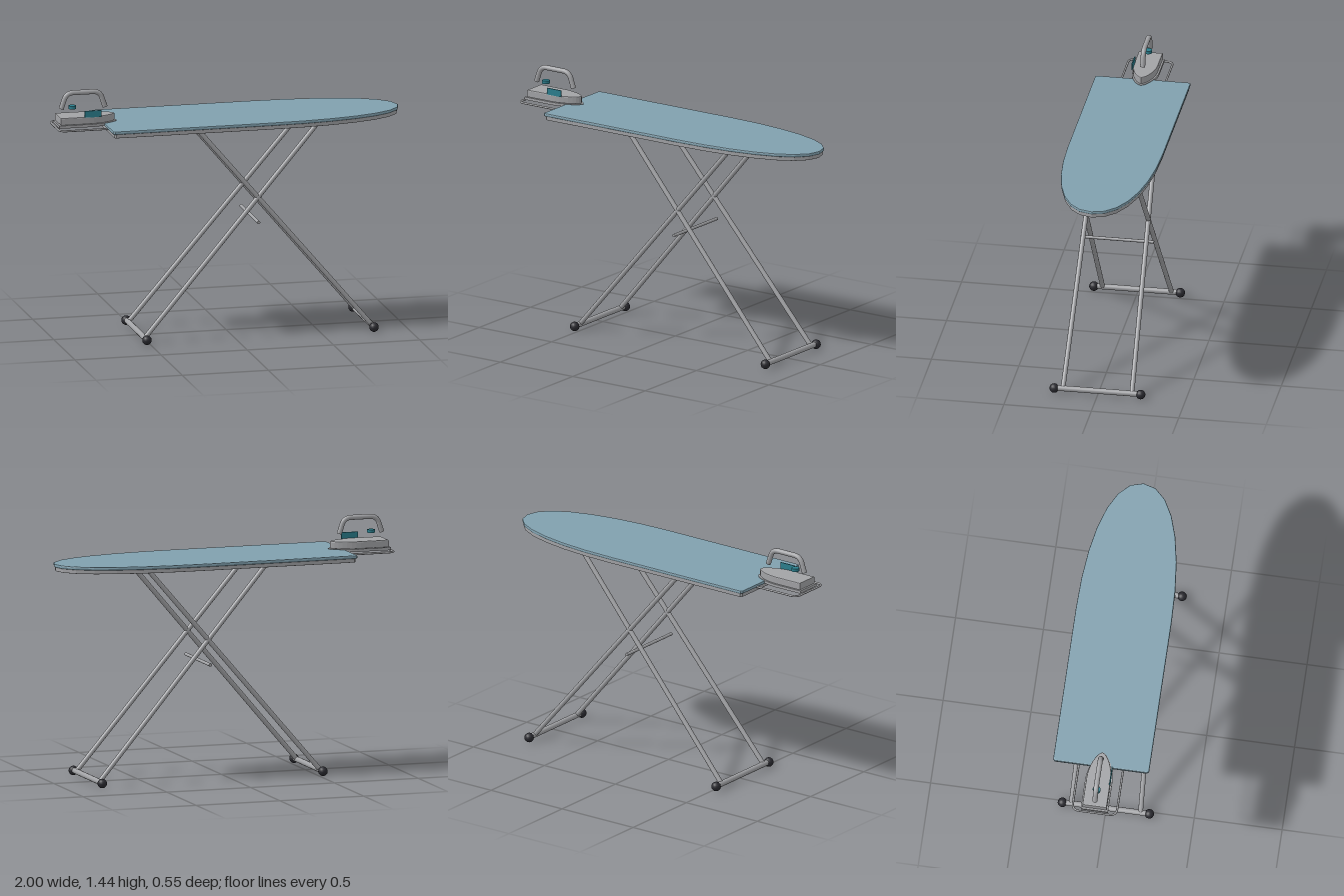
import * as THREE from 'three';

const mat = (name, color) => {
  const m = new THREE.MeshStandardMaterial({ color });
  m.name = name;
  return m;
};

export function createModel() {
  const metal = mat('grey metal', 0xa2a3a6);
  const fabric = mat('blue fabric', 0x80a0ae);
  const rubber = mat('black rubber', 0x2a2a30);
  const teal = mat('teal plastic', 0x2b7f8e);

  const model = new THREE.Group();
  model.name = 'ironingBoard';
  const add = (name, geometry, material, parent = model) => {
    const mesh = new THREE.Mesh(geometry, material);
    mesh.name = name;
    parent.add(mesh);
    return mesh;
  };

  // Horizontal slab from a plan outline, between two heights, with bevelled rims
  const slab = (shape, y0, y1, bevel, curveSegments) => {
    const g = new THREE.ExtrudeGeometry(shape, {
      depth: y1 - y0 - 2 * bevel, bevelEnabled: bevel > 0, bevelSize: bevel,
      bevelOffset: -bevel, bevelThickness: bevel, bevelSegments: 2, curveSegments,
    });
    g.rotateX(-Math.PI / 2);
    g.translate(0, y0 + bevel, 0);
    return g;
  };

  // Straight round bar between two points
  const bar = (a, b, r) => {
    const d = b.clone().sub(a);
    const g = new THREE.CylinderGeometry(r, r, d.length(), 14);
    g.applyQuaternion(new THREE.Quaternion().setFromUnitVectors(
      new THREE.Vector3(0, 1, 0), d.clone().normalize()));
    const c = a.clone().add(b).multiplyScalar(0.5);
    return g.translate(c.x, c.y, c.z);
  };
  const V = (x, y, z) => new THREE.Vector3(x, y, z);

  // Path of straight runs with rounded corners
  const roundedPath = (pts, r) => {
    const path = new THREE.CurvePath();
    let from = pts[0];
    for (let i = 1; i < pts.length - 1; i++) {
      const p = pts[i];
      const a = p.clone().add(pts[i - 1].clone().sub(p).setLength(r));
      const b = p.clone().add(pts[i + 1].clone().sub(p).setLength(r));
      path.add(new THREE.LineCurve3(from, a));
      path.add(new THREE.QuadraticBezierCurve3(a, p, b));
      from = b;
    }
    path.add(new THREE.LineCurve3(from, pts[pts.length - 1]));
    return path;
  };

  // Board: square tail, rounded nose
  const boardShape = (back, tip, w) => {
    const s = new THREE.Shape(), c = 0.01;
    s.moveTo(back + c, -w);
    s.lineTo(0.2, -w);
    s.bezierCurveTo(0.65, -w, tip, -w * 0.66, tip, 0);
    s.bezierCurveTo(tip, w * 0.66, 0.65, w, 0.2, w);
    s.lineTo(back + c, w);
    s.lineTo(back, w - c);
    s.lineTo(back, -w + c);
    s.closePath();
    return s;
  };
  add('boardBase', slab(boardShape(-0.712, 0.99, 0.266), 1.212, 1.235, 0.003, 7), metal);
  add('boardCover', slab(boardShape(-0.72, 0.997, 0.273), 1.234, 1.253, 0.006, 7), fabric);

  // Two crossing leg frames, each with a floor bar and rubber feet
  const feetY = 0.03;
  for (const [name, footX, topX] of [['legFrameA', -0.52, 0.495], ['legFrameB', 0.797, -0.21]]) {
    const frame = new THREE.Group();
    frame.name = name;
    model.add(frame);
    for (const s of [1, -1]) {
      add('leg', bar(V(footX, feetY, s * 0.197), V(topX, 1.217, s * 0.168), 0.0135), metal, frame);
      const foot = add('foot', new THREE.SphereGeometry(0.027, 14, 10), rubber, frame);
      foot.position.set(footX, 0.028, s * 0.247);
    }
    add('floorBar', bar(V(footX, feetY, -0.24), V(footX, feetY, 0.24), 0.016), metal, frame);
  }
  add('crossRod', bar(V(0.138, 0.663, -0.21), V(0.138, 0.663, 0.21), 0.009), metal);

  // Wire rest behind the tail
  const restPath = roundedPath([
    V(-0.69, 1.236, 0.126), V(-0.993, 1.236, 0.126),
    V(-0.993, 1.236, -0.126), V(-0.69, 1.236, -0.126),
  ], 0.04);
  add('ironRest', new THREE.TubeGeometry(restPath, 80, 0.006, 8), metal);

  // Iron
  const iron = new THREE.Group();
  iron.name = 'iron';
  model.add(iron);
  const ironShape = (back, tip, w) => {
    const s = new THREE.Shape();
    s.moveTo(back, -w);
    s.lineTo(-0.81, -w);
    s.bezierCurveTo(-0.74, -w, tip - 0.01, -w * 0.5, tip, 0);
    s.bezierCurveTo(tip - 0.01, w * 0.5, -0.74, w, -0.81, w);
    s.lineTo(back, w);
    s.closePath();
    return s;
  };
  add('solePlate', slab(ironShape(-0.985, -0.635, 0.077), 1.24, 1.256, 0, 8), metal, iron);
  add('ironBody', slab(ironShape(-0.976, -0.648, 0.069), 1.255, 1.298, 0.006, 8), metal, iron);

  const tank = add('waterGauge', new THREE.BoxGeometry(0.098, 0.038, 0.006), teal, iron);
  tank.position.set(-0.788, 1.313, 0.067);
  const dial = add('dial', new THREE.CylinderGeometry(0.022, 0.022, 0.018, 16), teal, iron);
  dial.position.set(-0.893, 1.343, 0);

  // Handle with closed ends
  const ends = [V(-0.957, 1.336, 0), V(-0.703, 1.336, 0)];
  const tops = [V(-0.927, 1.426, 0), V(-0.733, 1.426, 0)];
  const handlePath = roundedPath([ends[0], tops[0], tops[1], ends[1]], 0.04);
  add('handle', new THREE.TubeGeometry(handlePath, 40, 0.0145, 12), metal, iron);
  ends.forEach((e, i) => {
    const inward = tops[i].clone().sub(e).setLength(0.004);
    add('handleEnd', bar(e, e.clone().add(inward), 0.0145), metal, iron);
  });

  return model;
}
